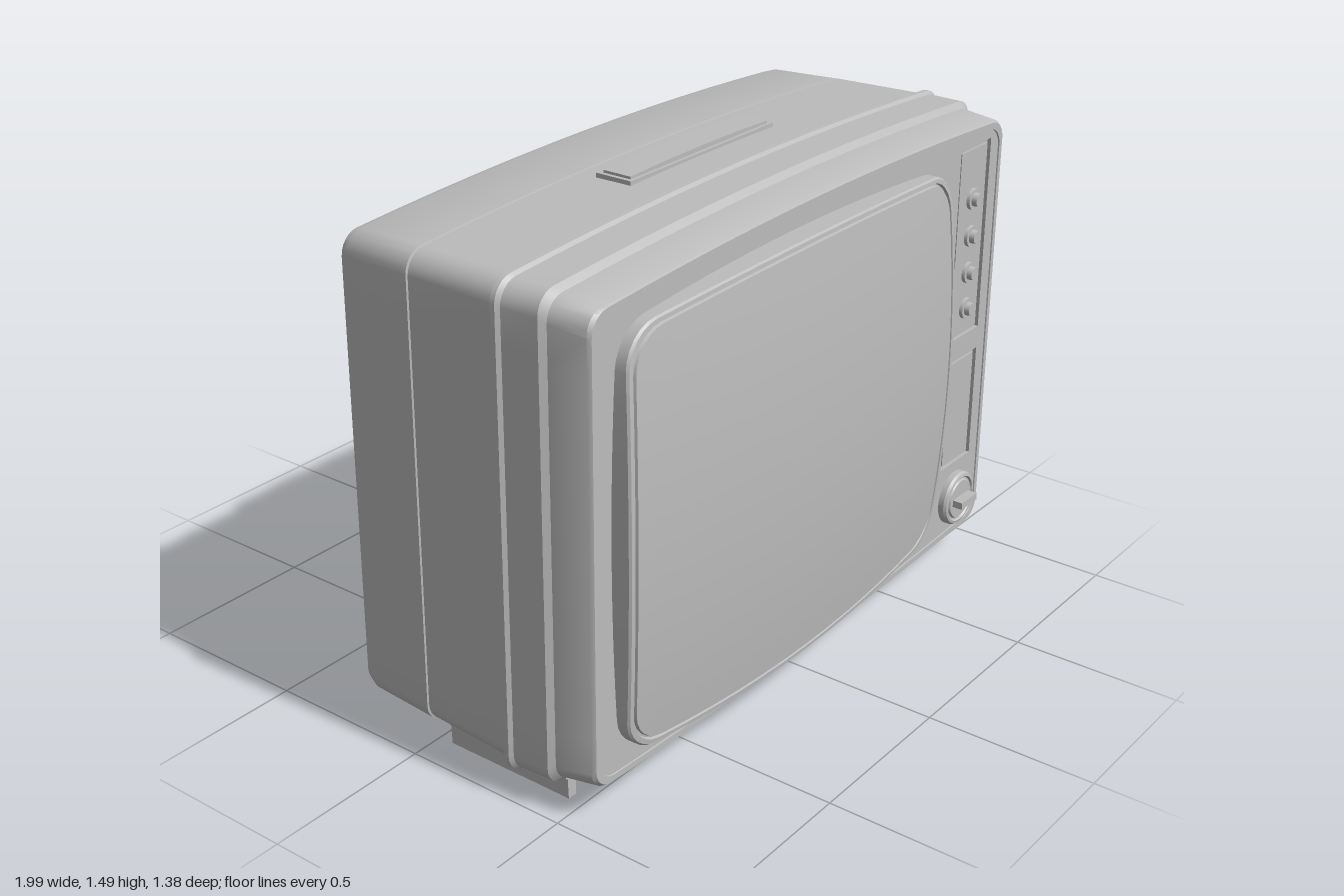
import * as THREE from 'three';
import { toCreasedNormals } from 'three/addons/utils/BufferGeometryUtils.js';

// Rounded rectangle with bowed edges, counter-clockwise seen from the front
function section({ w, top, bot, bowT = 0, bowB = 0, side = 0, r = 0.05 }) {
  const yt = top - bowT, yb = bot + bowB, mid = (yt + yb) / 2, h = (yt - yb) / 2;
  const corners = [[1, -1, -90], [1, 1, 0], [-1, 1, 90], [-1, -1, 180]];
  const arcs = corners.map(([sx, sy, start]) => {
    const pts = [];
    for (let i = 0; i <= 6; i++) {
      const a = THREE.MathUtils.degToRad(start + i * 15);
      pts.push([sx * (w - r) + r * Math.cos(a), sy * (h - r) + r * Math.sin(a)]);
    }
    return pts;
  });
  const raw = [];
  arcs.forEach((arc, k) => {
    raw.push(...arc);
    const p = arc[6], q = arcs[(k + 1) % 4][0];
    for (let i = 1; i < 12; i++) raw.push([p[0] + (q[0] - p[0]) * i / 12, p[1] + (q[1] - p[1]) * i / 12]);
  });
  return raw.map(([x, y]) => {
    const tx = x / w, ty = y / h;
    const bow = ty > 0 ? bowT : bowB;
    return new THREE.Vector2(x + tx * side * (1 - ty * ty), mid + y + ty * bow * (1 - tx * tx));
  });
}

// Skin over rings ordered front to back, closed at both ends
function loft(rings, crease = 0.5) {
  const n = rings[0].length, pos = [], idx = [];
  rings.forEach(ring => ring.forEach(p => pos.push(p.x, p.y, p.z)));
  for (let i = 0; i < rings.length - 1; i++) {
    for (let j = 0; j < n; j++) {
      const a = i * n + j, b = i * n + (j + 1) % n, c = b + n, d = a + n;
      idx.push(a, d, c, a, c, b);
    }
  }
  [0, rings.length - 1].forEach((row, end) => {
    const c = new THREE.Vector3();
    rings[row].forEach(p => c.addScaledVector(p, 1 / n));
    const ci = pos.length / 3;
    pos.push(c.x, c.y, c.z);
    for (let j = 0; j < n; j++) {
      const a = row * n + j, b = row * n + (j + 1) % n;
      idx.push(ci, end ? b : a, end ? a : b);
    }
  });
  const g = new THREE.BufferGeometry();
  g.setAttribute('position', new THREE.Float32BufferAttribute(pos, 3));
  g.setIndex(idx);
  return toCreasedNormals(g, crease);
}

function rectPath(x0, x1, y0, y1) {
  const p = new THREE.Path();
  p.moveTo(x0, y0).lineTo(x0, y1).lineTo(x1, y1).lineTo(x1, y0).closePath();
  return p;
}

export function createModel() {
  const model = new THREE.Group();
  const grey = new THREE.MeshStandardMaterial({ color: 0xbcbcbc });
  grey.name = 'plainGrey';

  function add(name, geometry, x = 0, y = 0, z = 0) {
    const mesh = new THREE.Mesh(geometry, grey);
    mesh.name = name;
    mesh.position.set(x, y, z);
    model.add(mesh);
    return mesh;
  }

  // Cabinet shells: z, half width, top, bottom
  const cabinet = [
    [0.575, 0.932, 1.42, 0.1], [0.59, 0.935, 1.422, 0.097], [0.59, 0.95, 1.44, 0.08],
    [0.58, 0.957, 1.445, 0.075], [0.47, 0.967, 1.455, 0.06], [0.455, 0.982, 1.472, 0.047],
    [0.345, 0.987, 1.472, 0.047], [0.336, 0.997, 1.48, 0.042], [0.322, 0.997, 1.48, 0.042],
    [0.312, 0.981, 1.471, 0.085], [0.032, 0.967, 1.468, 0.09], [0.03, 0.962, 1.462, 0.09],
    [0.024, 0.962, 1.462, 0.06], [0.022, 0.967, 1.467, 0.055],
  ];
  const backShell = [
    [-0.19, 0.955, 1.46, 0.06], [-0.22, 0.945, 1.45, 0.07], [-0.24, 0.925, 1.425, 0.1],
    [-0.47, 0.47, 1.01, 0.51], [-0.495, 0.425, 0.98, 0.54], [-0.53, 0.385, 0.96, 0.562],
    [-0.6, 0.35, 0.942, 0.58], [-0.69, 0.32, 0.925, 0.6],
  ];
  const cabinetRings = [...cabinet, ...backShell].map(([z, w, top, bot]) => {
    const flatBase = z > 0.025 && z < 0.32;
    return section({
      w, top, bot, bowT: 0.035 * w, bowB: flatBase ? 0 : 0.03 * w, r: 0.06 * w,
    }).map(p => new THREE.Vector3(p.x, p.y, z));
  });
  add('cabinet', loft(cabinetRings, 0.55));

  // Front panel with two sunken control bays
  const face = new THREE.Shape(section({ w: 0.934, top: 1.421, bot: 0.098, bowT: 0.033, bowB: 0.028, r: 0.056 }));
  face.holes.push(rectPath(0.72, 0.89, 0.77, 1.365), rectPath(0.72, 0.89, 0.345, 0.7));
  add('frontPanel', new THREE.ExtrudeGeometry(face, { depth: 0.011, bevelEnabled: false }), 0, 0, 0.575);

  // Raised inner plates of the control bays
  [[0.77, 1.365], [0.345, 0.7]].forEach(([y0, y1]) => {
    add('controlPlate', new THREE.BoxGeometry(0.146, y1 - y0 - 0.024, 0.008), 0.805, (y0 + y1) / 2, 0.578);
  });

  // Bulging picture tube with a thin surround
  const cx = -0.12, cy = 0.758;
  const outline = section({ w: 0.735, top: 1.377, bot: 0.139, bowT: 0.035, bowB: 0.035, side: 0.024, r: 0.1 });
  const screenRing = (s, lift, flatZ) => outline.map(p => {
    const u = p.x * s, v = (p.y - cy) * s;
    const z = flatZ ?? 0.69 - 0.045 * (u / 0.76) ** 2 - 0.036 * (v / 0.62) ** 2 + lift;
    return new THREE.Vector3(cx + u, cy + v, z);
  });
  add('screen', loft([
    ...[0.08, 0.25, 0.42, 0.58, 0.74, 0.87, 0.965].map(s => screenRing(s, 0)),
    screenRing(0.968, -0.008), screenRing(0.974, -0.008), screenRing(0.978, 0),
    screenRing(0.994, 0), screenRing(1, -0.006), screenRing(1, 0, 0.575),
  ]));

  // Four small knobs
  [1.2, 1.085, 0.97, 0.856].forEach(y => {
    const collar = new THREE.CylinderGeometry(0.031, 0.033, 0.014, 24).rotateX(Math.PI / 2);
    add('knobCollar', collar, 0.807, y, 0.585);
    const knob = new THREE.CylinderGeometry(0.019, 0.022, 0.026, 24).rotateX(Math.PI / 2);
    add('knob', knob, 0.807, y, 0.595);
  });

  // Tuning dial with grip bar
  const dial = [[0, 0.028], [0.06, 0.028], [0.064, 0.022], [0.069, 0.022], [0.073, 0.028], [0.081, 0.026], [0.086, 0.018], [0.086, 0]]
    .reverse().map(([r, h]) => new THREE.Vector2(r, h));
  add('tuningDial', toCreasedNormals(new THREE.LatheGeometry(dial, 48).rotateX(Math.PI / 2), 0.5), 0.805, 0.225, 0.586);
  add('dialGrip', new THREE.BoxGeometry(0.09, 0.022, 0.04), 0.805, 0.225, 0.626);

  // Carrying handle on the top
  add('handleBase', new THREE.BoxGeometry(0.64, 0.03, 0.115), 0, 1.463, 0.148);
  const handle = new THREE.BoxGeometry(0.615, 0.03, 0.09, 12, 1, 1);
  const hp = handle.attributes.position;
  for (let i = 0; i < hp.count; i++) hp.setY(i, hp.getY(i) - 0.06 * hp.getX(i) ** 2);
  handle.computeVertexNormals();
  add('handle', handle, 0, 1.476, 0.15);

  // Runner feet
  const foot = new THREE.Shape();
  foot.moveTo(-0.014, 0).lineTo(0.014, 0).lineTo(0.017, 0.062).lineTo(0.024, 0.066)
    .lineTo(0.024, 0.11).lineTo(-0.024, 0.11).lineTo(-0.024, 0.066).lineTo(-0.017, 0.062).closePath();
  [-1, 1].forEach(s => {
    const g = new THREE.ExtrudeGeometry(foot, { depth: 0.41, bevelEnabled: false });
    add(s > 0 ? 'leftFoot' : 'rightFoot', g, s * 0.887, 0, 0.045);
  });

  return model;
}
